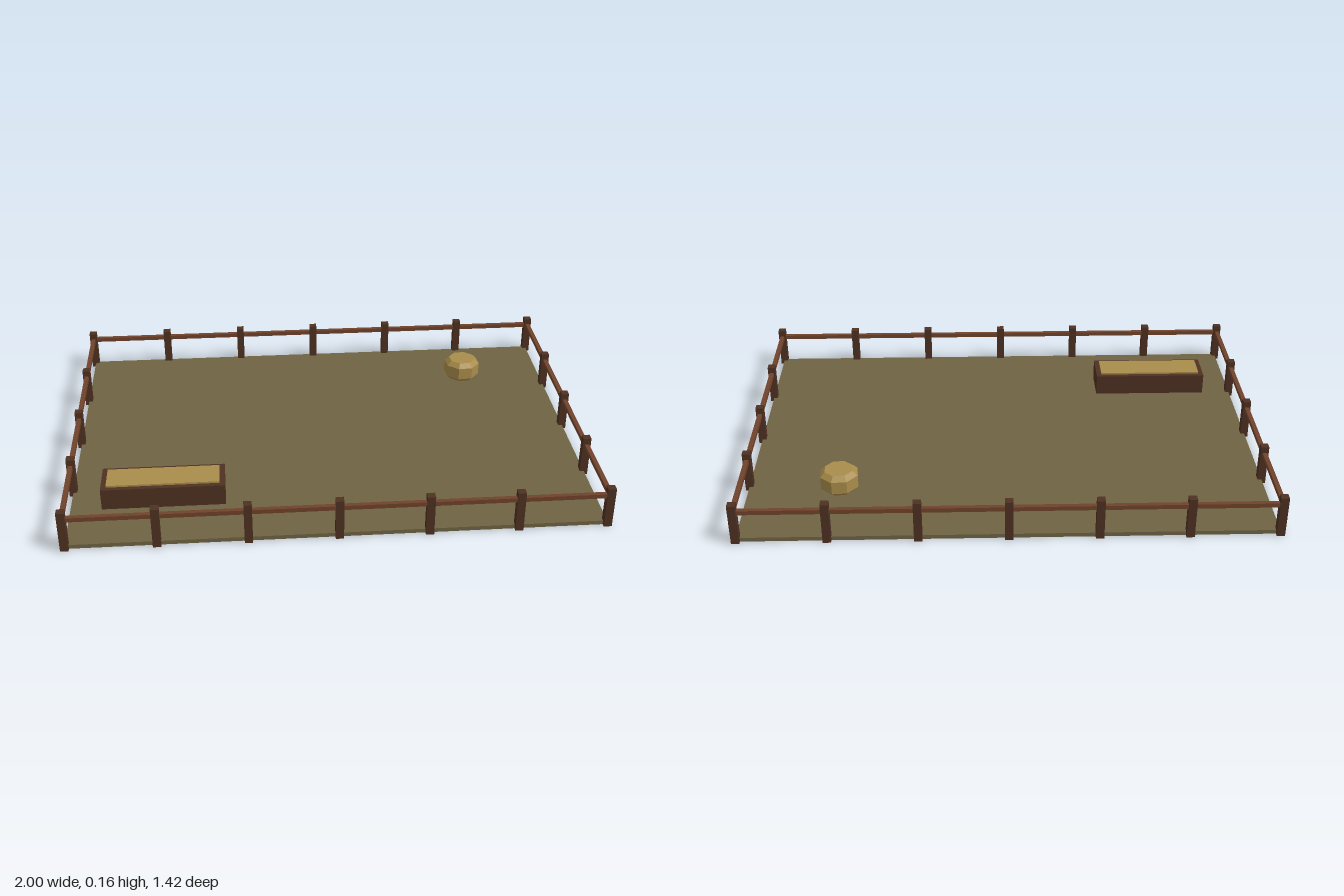
import * as THREE from 'three';

const material = (name, color) => Object.assign(new THREE.MeshStandardMaterial({ color }), { name });

export function createModel() {
  const pen = new THREE.Group();
  pen.name = 'animalPen';
  const earth = material('earth', 0x6e6343);
  const darkWood = material('darkWood', 0x4e3122);
  const railWood = material('railWood', 0x70432b);
  const straw = material('straw', 0xa88c4a);

  const box = (name, mat, [w, h, d], [x, y, z], parent = pen) => {
    const mesh = new THREE.Mesh(new THREE.BoxGeometry(w, h, d), mat);
    mesh.name = name;
    mesh.position.set(x, y, z);
    parent.add(mesh);
  };

  const X = 0.984, Z = 0.696; // fence centre lines
  box('ground', earth, [2 * X, 0.016, 2 * Z], [0, 0.008, 0]);

  // Fence: posts around the edge, one rail per side
  const fence = new THREE.Group();
  fence.name = 'fence';
  pen.add(fence);
  const post = (x, z) => box('post', darkWood, [0.03, 0.162, 0.03], [x, 0.081, z], fence);
  for (const side of [-1, 1]) {
    for (let i = 0; i <= 6; i++) post(-X + (i * X) / 3, side * Z);
    for (let i = 1; i <= 3; i++) post(side * X, -Z + (i * Z) / 2);
    box('longRail', railWood, [2 * X, 0.017, 0.017], [0, 0.129, side * Z], fence);
    box('shortRail', railWood, [0.017, 0.017, 2 * Z], [side * X, 0.129, 0], fence);
  }

  // Feeding trough heaped with straw
  const trough = new THREE.Group();
  trough.name = 'trough';
  trough.position.set(-0.638, 0, 0.408);
  pen.add(trough);
  box('troughBody', darkWood, [0.46, 0.086, 0.148], [0, 0.057, 0], trough);
  box('feed', straw, [0.42, 0.014, 0.112], [0, 0.1, 0], trough);

  // Round bale with bevelled rims
  const profile = [[0, 0.036], [0.056, 0.036], [0.075, 0.054], [0.075, 0.104], [0.056, 0.122], [0, 0.122]]
    .map(([r, y]) => new THREE.Vector2(r, y));
  const baleGeometry = new THREE.LatheGeometry(profile, 8).toNonIndexed();
  baleGeometry.computeVertexNormals();
  const baleMat = straw.clone();
  baleMat.name = 'baleStraw';
  baleMat.flatShading = true;
  const bale = new THREE.Mesh(baleGeometry, baleMat);
  bale.name = 'bale';
  bale.position.set(0.633, 0, -0.408);
  bale.rotation.y = Math.PI / 8 + 0.08;
  pen.add(bale);

  return pen;
}
